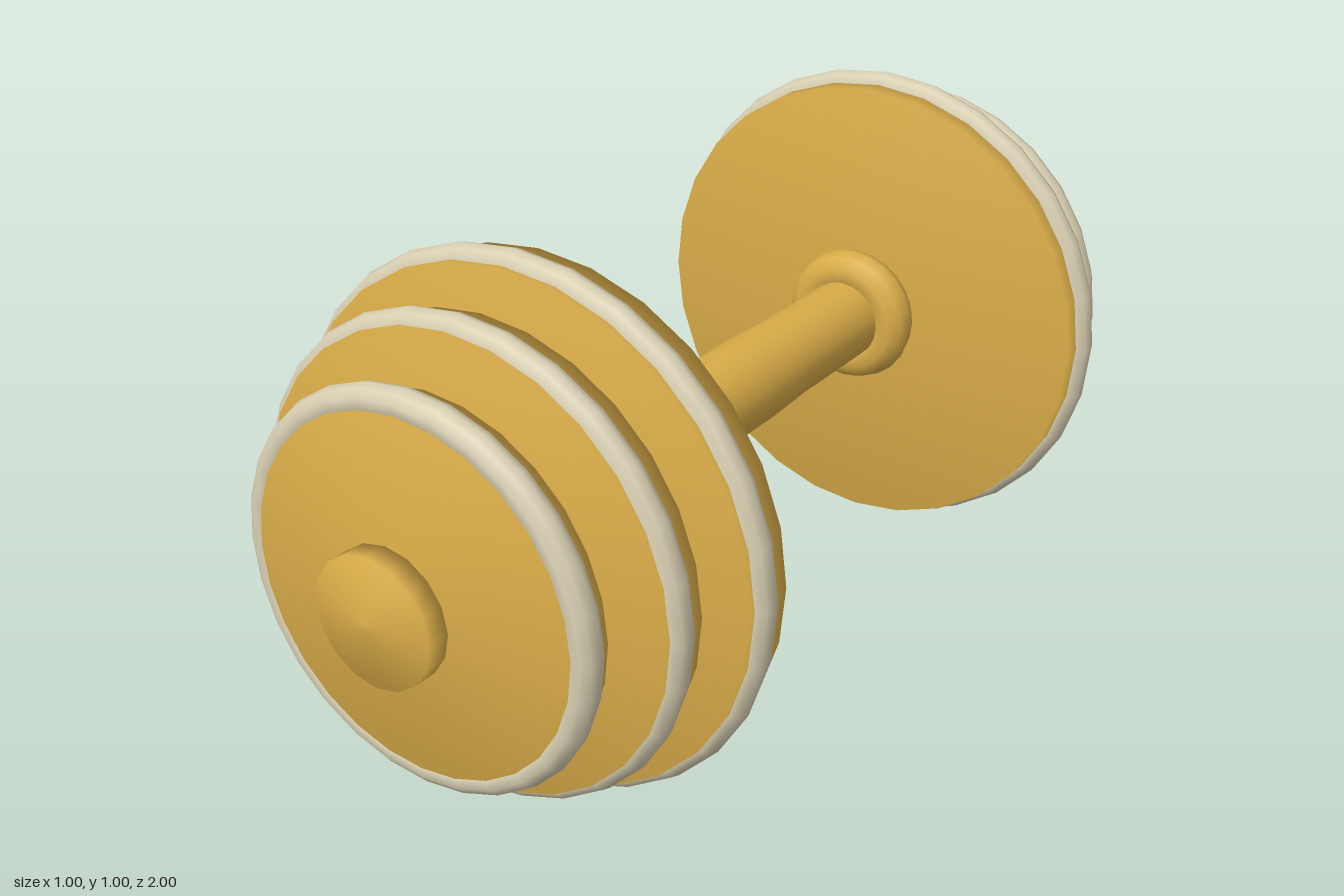
import * as THREE from 'three';

const gold = new THREE.MeshStandardMaterial({ color: 0xd9ac48 });
gold.name = 'gold';
const ivory = new THREE.MeshStandardMaterial({ color: 0xd8cfb2 });
ivory.name = 'ivory';

const CENTRE_Y = 0.503;

// Smooth solid of revolution around z; profile entries are [radius, z]
function turned(name, profile, sides) {
  const points = profile.map(([r, z]) => new THREE.Vector2(r, z));
  const geometry = new THREE.LatheGeometry(points, sides).rotateX(Math.PI / 2);
  const mesh = new THREE.Mesh(geometry, gold);
  mesh.name = name;
  return mesh;
}

function ring(name, radius, tube, z, material, sides) {
  const mesh = new THREE.Mesh(new THREE.TorusGeometry(radius, tube, 10, sides), material);
  mesh.position.z = z;
  mesh.name = name;
  return mesh;
}

// Disc with a flat inner face and a shallow conical outer face
const disc = (name, r, back, edge, apex, sides) =>
  turned(name, [[0, back], [r, back], [r, edge], [0, apex]], sides);

// One end of the dumbbell, pointing to +z
function weightStack() {
  const stack = new THREE.Group();
  stack.add(ring('collar', 0.097, 0.044, 0.495, gold, 24));
  const plates = [
    // name, radius, inner face, outer edge, apex, ring z
    ['largePlate', 0.478, 0.54, 0.645, 0.672, 0.607],
    ['middlePlate', 0.417, 0.69, 0.782, 0.81, 0.75],
    ['smallPlate', 0.338, 0.828, 0.9, 0.924, 0.875],
  ];
  for (const [name, r, back, edge, apex, ringZ] of plates) {
    stack.add(disc(name, r, back, edge, apex, 28));
    stack.add(ring(name + 'Rim', r - 0.006, 0.028, ringZ, ivory, 28));
  }
  stack.add(disc('endCap', 0.118, 0.942, 0.985, 1, 16));
  return stack;
}

export function createModel() {
  const model = new THREE.Group();
  model.name = 'dumbbell';

  // Grip, slightly swollen in the middle
  model.add(turned('handle', [
    [0.083, -0.54], [0.083, -0.22], [0.088, -0.1], [0.088, 0.1], [0.083, 0.22], [0.083, 0.54],
  ], 20));

  // The same stack at both ends
  for (const [name, turn] of [['frontWeights', 0], ['backWeights', Math.PI]]) {
    const stack = weightStack();
    stack.name = name;
    stack.rotation.y = turn;
    model.add(stack);
  }

  for (const part of model.children) part.position.y = CENTRE_Y;
  return model;
}
